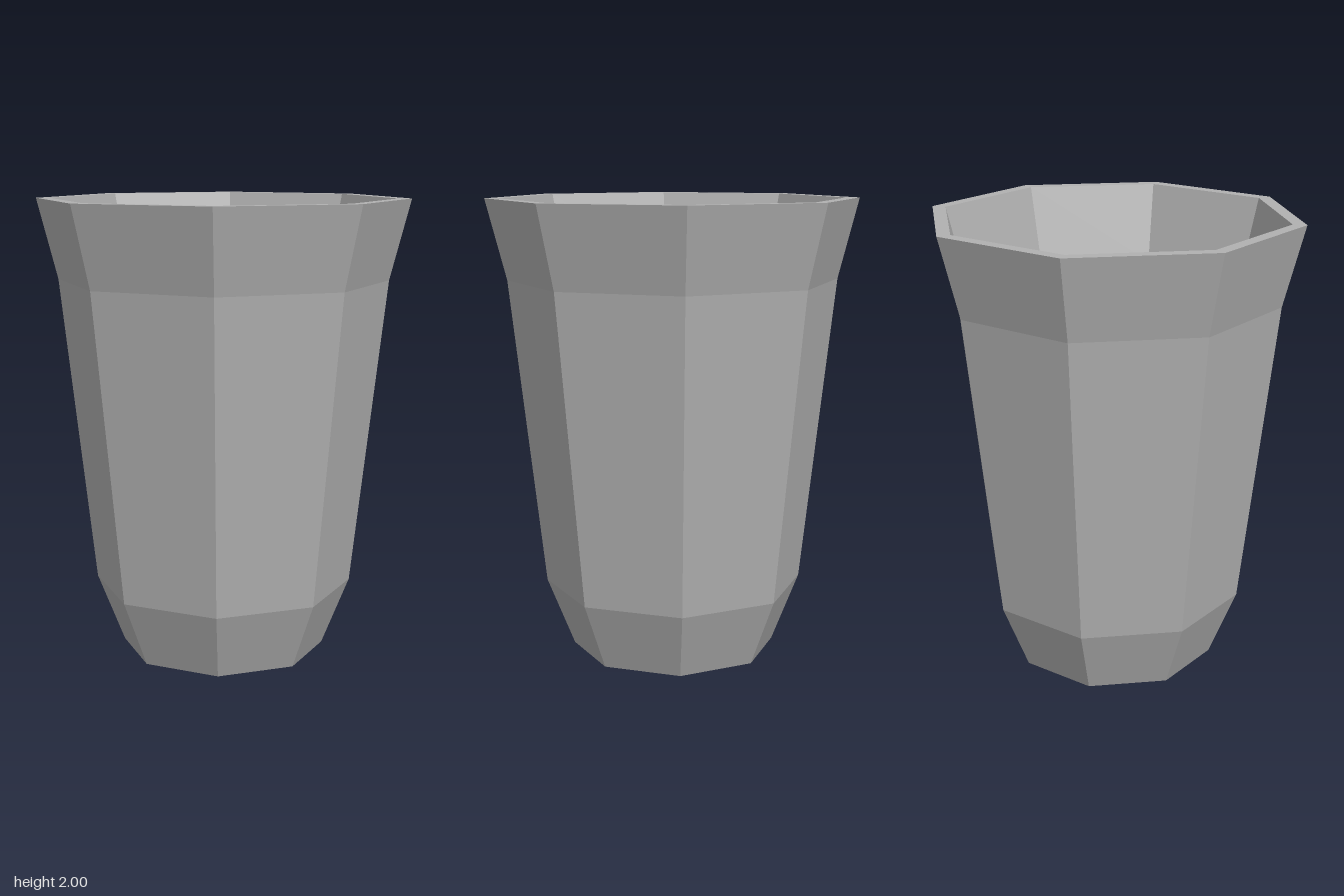
import * as THREE from 'three';

const SIDES = 8;

export function createModel() {
  const group = new THREE.Group();
  group.name = 'cup';

  const grey = new THREE.MeshStandardMaterial({ color: 0xb0b0b0 });
  grey.name = 'grey';
  grey.flatShading = true;

  // Eight-sided shell turned from a [radius, height] profile
  const addPart = (name, profile) => {
    const points = profile.map(([r, y]) => new THREE.Vector2(r, y));
    const mesh = new THREE.Mesh(new THREE.LatheGeometry(points, SIDES), grey);
    mesh.name = name;
    group.add(mesh);
  };

  // Base and flared outside
  addPart('outerWall', [[0, 0], [0.45, 0], [0.57, 0.3], [0.72, 1.65], [0.81, 2]]);
  // Flat lip
  addPart('rim', [[0.81, 2], [0.75, 2]]);
  // Hollow inside, down to the sloped floor edge
  addPart('innerWall', [[0.75, 2], [0.66, 1.65], [0.475, 0.32], [0.28, 0.12]]);
  addPart('innerFloor', [[0.28, 0.12], [0, 0.12]]);

  return group;
}
